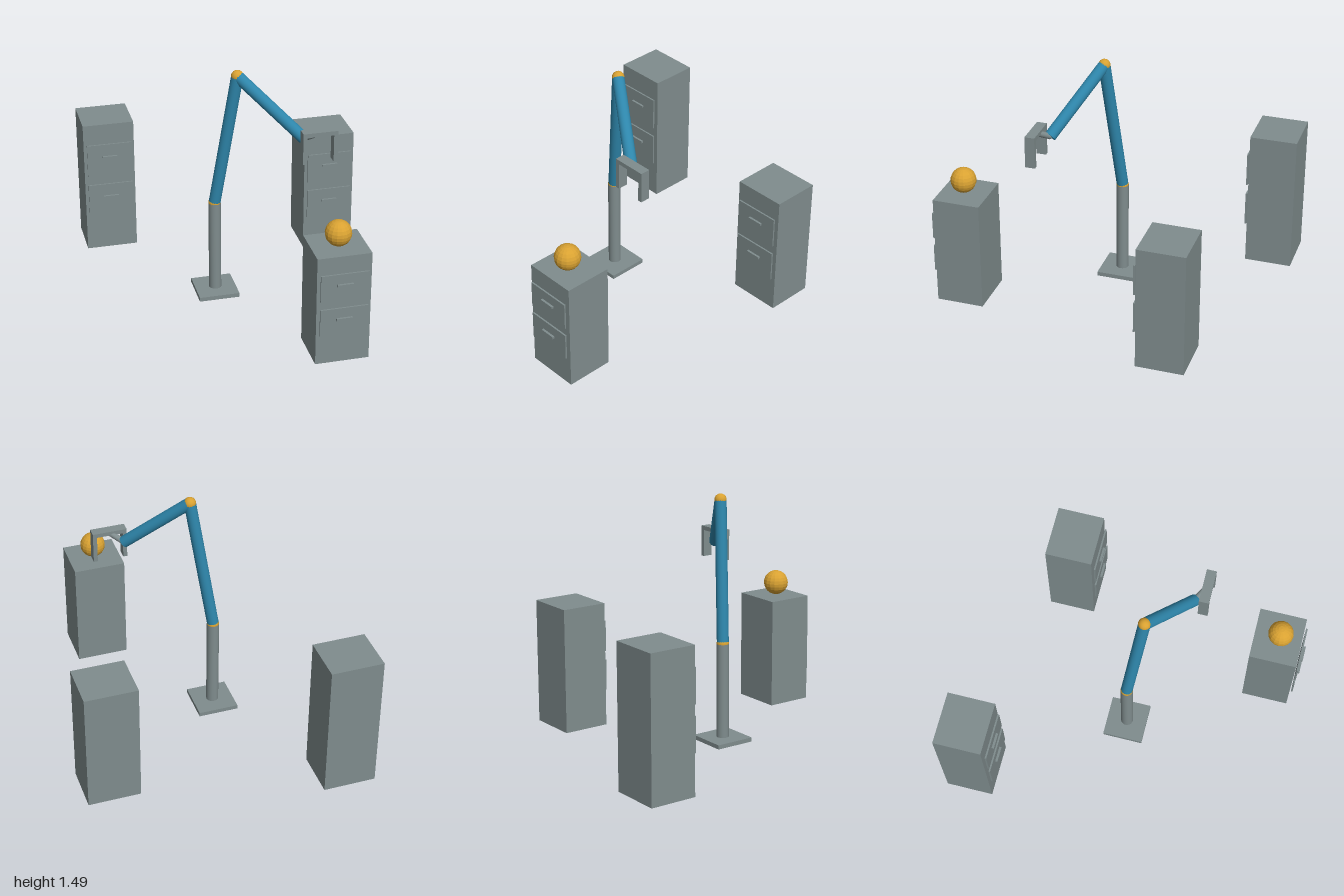
import * as THREE from 'three';

const steel = new THREE.MeshStandardMaterial({ name: 'steel grey', color: 0x7f8c8d });
const blue = new THREE.MeshStandardMaterial({ name: 'arm blue', color: 0x2e86ab });
const amber = new THREE.MeshStandardMaterial({ name: 'amber', color: 0xd9a232 });
const amberFaceted = amber;

function add(parent, name, geometry, material, x, y, z) {
  const mesh = new THREE.Mesh(geometry, material);
  mesh.name = name;
  mesh.position.set(x, y, z);
  parent.add(mesh);
  return mesh;
}

function box(parent, name, w, h, d, x, y, z) {
  return add(parent, name, new THREE.BoxGeometry(w, h, d), steel, x, y, z);
}

// Cylinder running from one point to another
function rod(parent, name, from, to, radius, material) {
  const dir = to.clone().sub(from);
  const mid = from.clone().add(to).multiplyScalar(0.5);
  const mesh = add(parent, name, new THREE.CylinderGeometry(radius, radius, dir.length(), 20), material, mid.x, mid.y, mid.z);
  mesh.quaternion.setFromUnitVectors(new THREE.Vector3(0, 1, 0), dir.normalize());
  return mesh;
}

// Cabinet with two drawer fronts standing just off its face, each with a handle
function cabinet(name, height, x, z) {
  const group = new THREE.Group();
  group.name = name;
  group.position.set(x, 0, z);
  const width = 0.322, depth = 0.292, front = depth / 2;
  box(group, 'cabinetBody', width, height, depth, 0, height / 2, 0);
  for (const level of [0.406, 0.726]) {
    box(group, 'drawerFront', 0.284, height * 0.246, 0.01, 0, height * level, front + 0.014);
    box(group, 'drawerHandle', 0.096, 0.013, 0.014, 0, height * (level + 0.025), front + 0.026);
  }
  return group;
}

export function createModel() {
  const model = new THREE.Group();
  model.name = 'robotArmWithCabinets';

  // Cabinets and the ball resting on the nearest one
  model.add(cabinet('backCabinet', 0.87, -0.68, -0.854));
  model.add(cabinet('middleCabinet', 0.78, 0.68, -0.542));
  model.add(cabinet('frontCabinet', 0.69, 0.364, 0.821));
  const ballGeometry = new THREE.SphereGeometry(0.078, 16, 12).toNonIndexed();
  ballGeometry.computeVertexNormals();
  add(model, 'ball', ballGeometry, amberFaceted, 0.364, 0.769, 0.832);

  // Arm: base, post, two links and joints
  const arm = new THREE.Group();
  arm.name = 'robotArm';
  model.add(arm);
  const shoulder = new THREE.Vector3(-0.16, 0.608, 0);
  const elbow = new THREE.Vector3(-0.036, 1.455, 0.075);
  const wrist = new THREE.Vector3(0.308, 1.118, 0.294);
  const palm = new THREE.Vector3(0.385, 1.168, 0.35);
  box(arm, 'base', 0.25, 0.026, 0.25, -0.16, 0.013, 0);
  rod(arm, 'post', new THREE.Vector3(-0.16, 0.02, 0), shoulder, 0.038, steel);
  add(arm, 'shoulderJoint', new THREE.SphereGeometry(0.038, 16, 12), amber, ...shoulder.toArray());
  rod(arm, 'upperArm', shoulder, elbow, 0.036, blue);
  add(arm, 'elbowJoint', new THREE.SphereGeometry(0.037, 16, 12), amber, ...elbow.toArray());
  rod(arm, 'forearm', elbow, wrist, 0.036, blue);

  // Gripper: wrist rod, crossbar and two fingers
  rod(arm, 'wristRod', wrist, palm, 0.018, steel);
  box(arm, 'gripperBar', 0.21, 0.026, 0.06, 0.385, 1.172, 0.354);
  for (const side of [-1, 1]) {
    box(arm, 'gripperFinger', 0.025, 0.17, 0.06, 0.385 + side * 0.0925, 1.076, 0.354);
  }
  return model;
}
